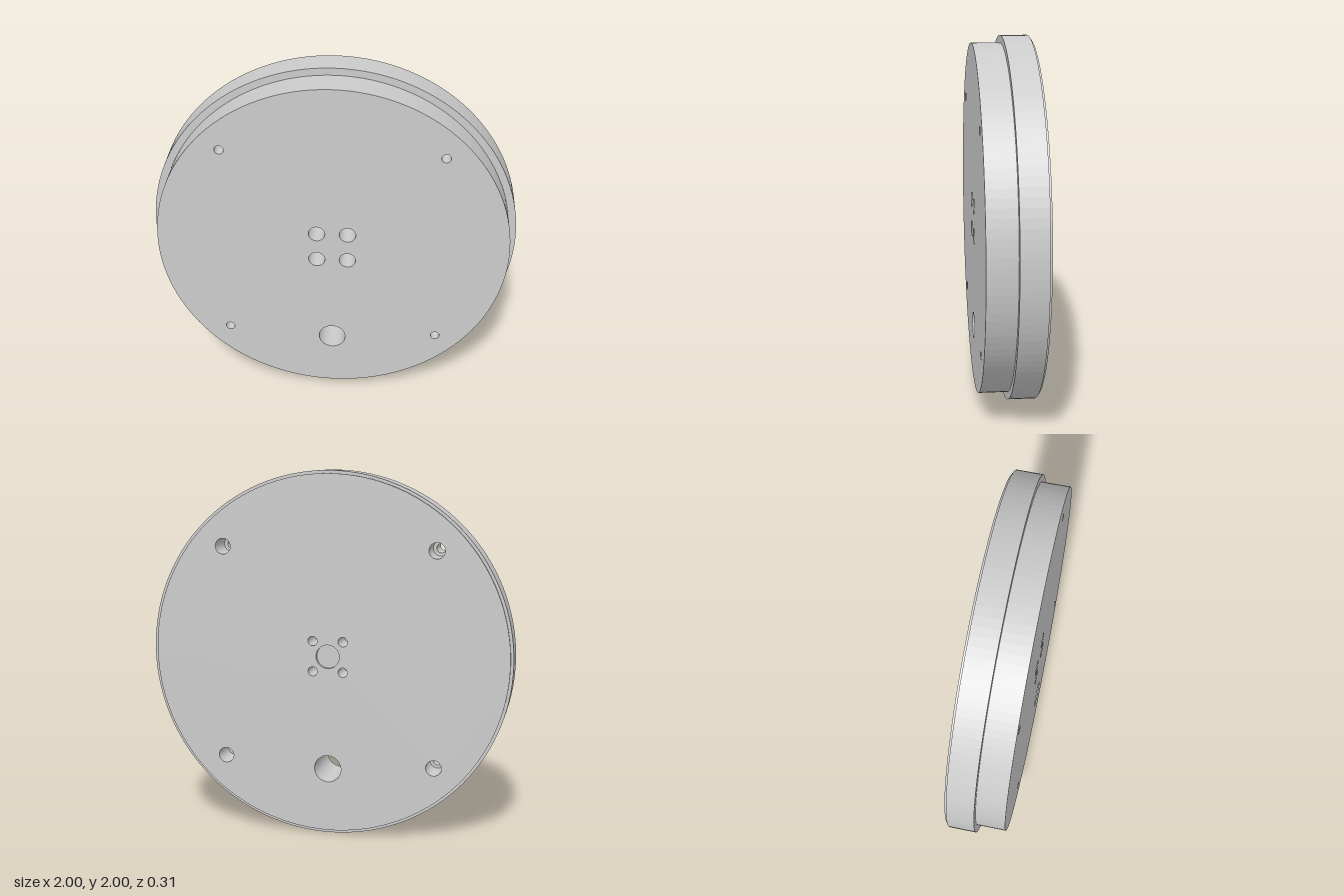
import * as THREE from 'three';

const FRONT = 0.157, BACK = -0.157, SEAM = 0;
const RIM_SEGS = 128, HOLE_SEGS = 32;

// Holes: position, radius at the front and back faces
const holes = [{ name: 'cableHole', x: 0, y: -0.63, front: 0.075, back: 0.075 }];
for (const sx of [-1, 1]) for (const sy of [-1, 1]) {
  holes.push({ name: 'cornerHole', x: sx * 0.588, y: sy * 0.588, front: 0.025, back: 0.043 });
  holes.push({ name: 'centreHole', x: sx * 0.084, y: sy * 0.084, front: 0.045, back: 0.026 });
}
const recess = { x: 0, y: 0, back: 0.065, depth: 0.02 };

function circle(r, n, x = 0, y = 0) {
  return Array.from({ length: n }, (_, i) => {
    const a = (i / n) * Math.PI * 2;
    return new THREE.Vector2(x + r * Math.cos(a), y + r * Math.sin(a));
  });
}

// Flat disc face pierced by holes
function discFace(radius, cuts, side) {
  const shape = new THREE.Shape(circle(radius, RIM_SEGS));
  for (const h of cuts) shape.holes.push(new THREE.Path(circle(h[side], HOLE_SEGS, h.x, h.y)));
  return new THREE.ShapeGeometry(shape);
}

// Surface turned about the z axis from [radius, z] pairs
function turned(profile, segs) {
  const pts = profile.map(([r, z]) => new THREE.Vector2(r, z));
  return new THREE.LatheGeometry(pts, segs).rotateX(Math.PI / 2);
}

export function createModel() {
  const group = new THREE.Group();
  group.name = 'mountingDisc';
  const body = new THREE.Group();
  body.position.y = 1;
  group.add(body);

  const material = new THREE.MeshStandardMaterial({ color: 0xcccccc, flatShading: true });
  const add = (name, geometry, x = 0, y = 0, z = 0) => {
    const mesh = new THREE.Mesh(geometry, material);
    mesh.name = name;
    mesh.position.set(x, y, z);
    body.add(mesh);
    return mesh;
  };

  // Stepped outer rim, from back to front
  add('steppedRim', turned([
    [0.984, BACK], [0.984, -0.146], [1, -0.146], [1, SEAM], [0.96, SEAM], [0.96, FRONT],
  ], RIM_SEGS));

  // Front and back faces
  add('frontFace', discFace(0.96, holes, 'front'), 0, 0, FRONT);
  // Mirrored holes: the back face is turned half round about y
  const backCuts = [...holes, recess].map(h => ({ ...h, x: -h.x }));
  add('backFace', discFace(0.984, backCuts, 'back').rotateY(Math.PI), 0, 0, BACK);

  // Hole walls, with a shoulder at the seam where the radius changes
  for (const h of holes) {
    const profile = h.front === h.back
      ? [[h.front, FRONT], [h.back, BACK]]
      : [[h.front, FRONT], [h.front, SEAM], [h.back, SEAM], [h.back, BACK]];
    add(h.name, turned(profile, HOLE_SEGS), h.x, h.y);
  }

  // Shallow blind recess in the middle of the back
  const floor = BACK + recess.depth;
  add('backRecess', turned([[0, floor], [recess.back, floor], [recess.back, BACK]], HOLE_SEGS));

  return group;
}
